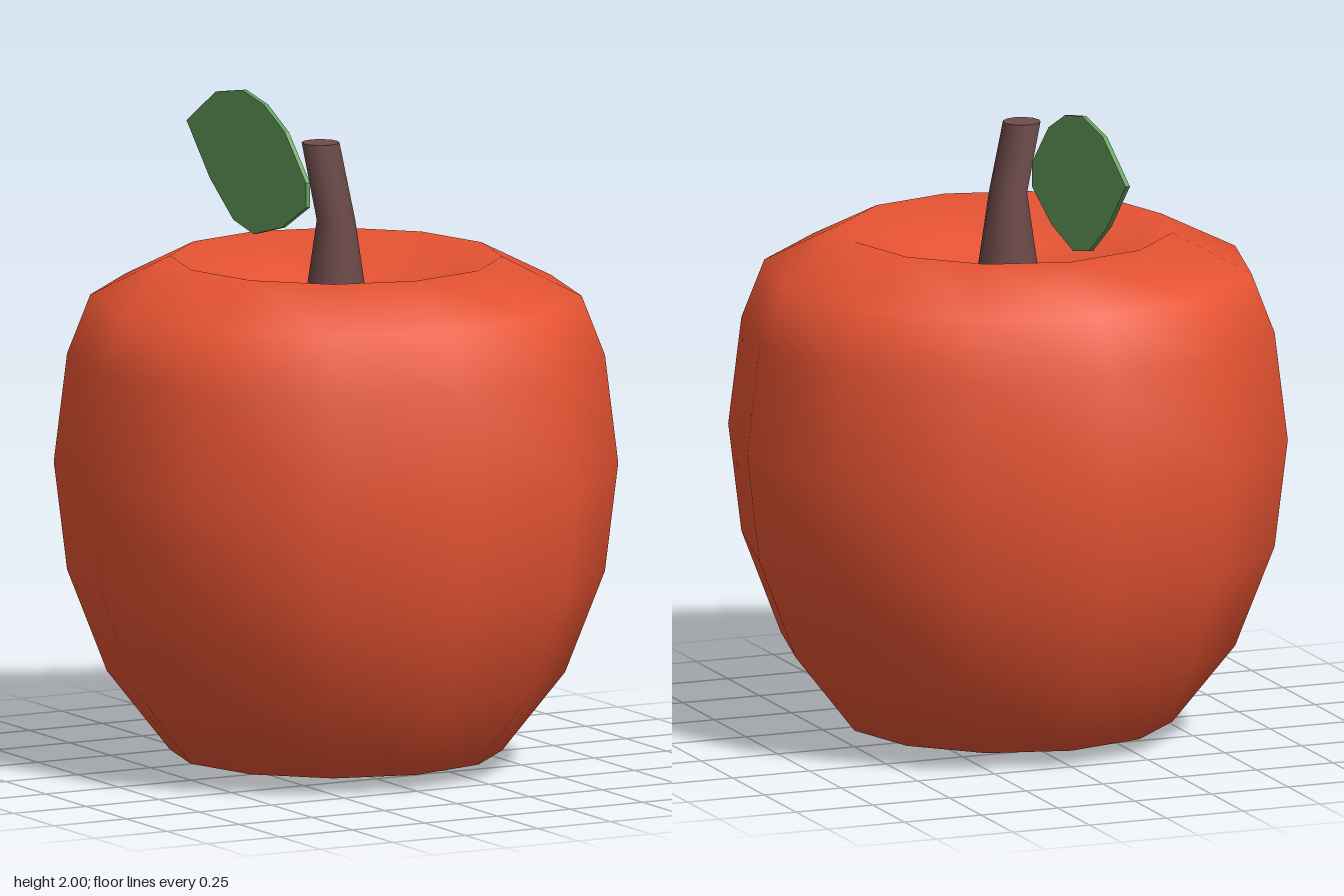
import * as THREE from 'three';

const skinRed = new THREE.MeshStandardMaterial({ color: 0xe65332 });
skinRed.name = 'skinRed';
const stemBrown = new THREE.MeshStandardMaterial({ color: 0x704c4c });
stemBrown.name = 'stemBrown';
const leafGreen = new THREE.MeshStandardMaterial({ color: 0x65a05c });
leafGreen.name = 'leafGreen';

function addMesh(group, name, geometry, material) {
  const mesh = new THREE.Mesh(geometry, material);
  mesh.name = name;
  group.add(mesh);
  return mesh;
}

// Twelve-sided smooth body with a dimple on top and a shallow point below
function bodyGeometry() {
  const profile = [
    [0, 0], [0.25, 0.05], [0.5, 0.05], [0.69, 0.29], [0.81, 0.6], [0.85, 0.93],
    [0.81, 1.26], [0.74, 1.44], [0.5, 1.56], [0.28, 1.45], [0, 1.4],
  ].map(([r, y]) => new THREE.Vector2(r, y));
  return new THREE.LatheGeometry(profile, 12);
}

// Stem: a cylinder whose three rows are resized and shifted to make a bend
function stemGeometry() {
  const rows = [
    { x: 0, y: 1.38, z: 0, r: 0.1 },
    { x: 0, y: 1.67, z: 0, r: 0.058 },
    { x: -0.02, y: 1.9, z: -0.06, r: 0.057 },
  ];
  const geometry = new THREE.CylinderGeometry(1, 1, 2, 12, 2);
  const p = geometry.attributes.position;
  for (let i = 0; i < p.count; i++) {
    const row = rows[Math.round(p.getY(i)) + 1];
    p.setXYZ(i, row.x + p.getX(i) * row.r, row.y, row.z + p.getZ(i) * row.r);
  }
  return geometry;
}

// Leaf: a thin flat plate, outlined as (distance behind the stem, height)
function leafGeometry() {
  const outline = [
    [0.08, 1.7], [0.235, 1.615], [0.405, 1.57], [0.53, 1.595], [0.675, 1.7], [0.82, 1.855],
    [0.64, 1.97], [0.475, 2], [0.34, 1.975], [0.21, 1.91], [0.08, 1.775],
  ].map(([d, y]) => new THREE.Vector2(d, y));
  const geometry = new THREE.ExtrudeGeometry(new THREE.Shape(outline), { depth: 0.014, bevelEnabled: false });
  geometry.rotateY(Math.PI / 2);
  geometry.translate(-0.059, 0, 0);
  return geometry;
}

export function createModel() {
  const apple = new THREE.Group();
  apple.name = 'apple';
  addMesh(apple, 'body', bodyGeometry(), skinRed);
  addMesh(apple, 'stem', stemGeometry(), stemBrown);
  addMesh(apple, 'leaf', leafGeometry(), leafGreen);
  return apple;
}
